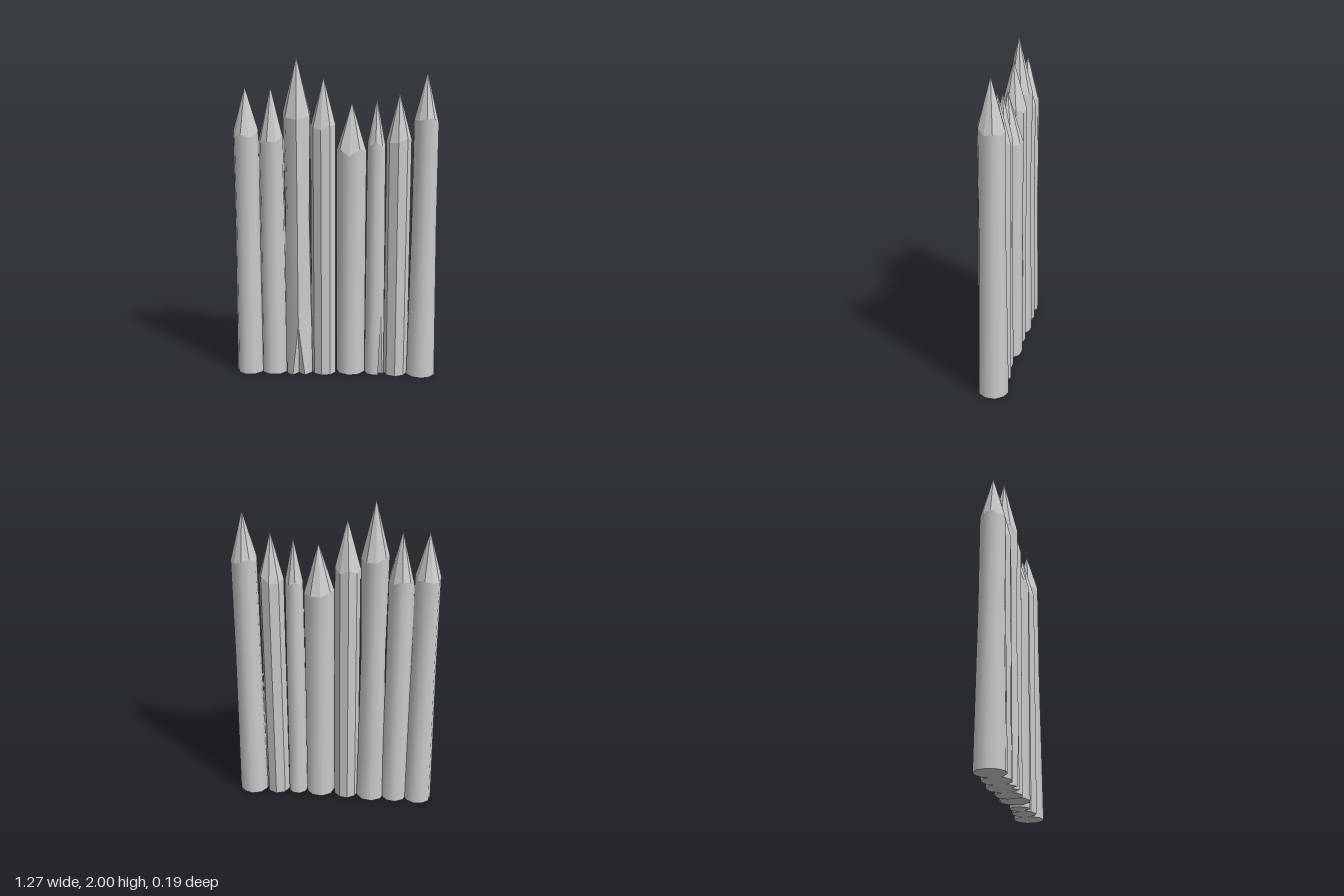
import * as THREE from 'three';
import { toCreasedNormals } from 'three/addons/utils/BufferGeometryUtils.js';

const material = new THREE.MeshStandardMaterial({ color: 0xcccccc });
const flatMaterial = new THREE.MeshStandardMaterial({ color: 0xcccccc, flatShading: true });

// Small seeded generator for the hand-cut irregularity, from -1 to 1
function makeRandom(seed) {
  let s = seed * 7919 + 17;
  return () => {
    s = (s * 16807) % 2147483647;
    return (s / 2147483647) * 2 - 1;
  };
}

// x, tip height, shoulder height, radius at base / middle / shoulder, sides
// facet: flat-sided log; crack: angle from the front, half width, height
const logs = [
  { x: -0.55, tip: 1.82, top: 1.54, r: [0.09, 0.078, 0.077], sides: 10 },
  { x: -0.395, tip: 1.82, top: 1.515, r: [0.086, 0.08, 0.078], sides: 9 },
  { x: -0.237, tip: 2.0, top: 1.65, r: [0.094, 0.078, 0.087], sides: 9, crack: [0.05, 0.42, 0.33] },
  { x: -0.075, tip: 1.88, top: 1.575, r: [0.079, 0.079, 0.078], sides: 9, facet: true },
  { x: 0.096, tip: 1.73, top: 1.435, r: [0.093, 0.093, 0.094], sides: 9, y0: 0.01 },
  { x: 0.246, tip: 1.76, top: 1.49, r: [0.063, 0.06, 0.056], sides: 9, crack: [0.7, 0.28, 0.4] },
  { x: 0.381, tip: 1.79, top: 1.505, r: [0.077, 0.077, 0.077], sides: 8, facet: true },
  { x: 0.543, tip: 1.91, top: 1.62, r: [0.093, 0.079, 0.077], sides: 10 },
];

function geometryFrom(points, index) {
  const g = new THREE.BufferGeometry();
  g.setAttribute('position', new THREE.Float32BufferAttribute(points.flat(), 3));
  g.setIndex(index);
  return g;
}

function makeLog(log, number) {
  const { tip, top, r, sides, crack, y0 = 0 } = log;
  const random = makeRandom(number + 1);
  const phase = random() * 0.3;

  // Directions around the log; a crack adds two lips and a sunken middle
  let spokes = [];
  for (let i = 0; i < sides; i++) {
    const a = phase + (i / sides) * Math.PI * 2;
    spokes.push({ a: Math.atan2(Math.sin(a), Math.cos(a)), wobble: 1 + random() * 0.025, dy: random() * 0.022 });
  }
  if (crack) {
    const [angle, half] = crack;
    spokes = spokes.filter((s) => Math.abs(s.a - angle) > half + 0.1);
    for (const side of [-1, 0, 1]) {
      spokes.push({ a: angle + side * half, closed: angle, wobble: 1, dy: -0.02, sunk: side === 0 });
    }
  }
  spokes.sort((p, q) => p.a - q.a);
  const n = spokes.length;

  // Cross-sections from the ground to the shoulder
  const middle = top * 0.62;
  const levels = [[y0, r[0]], [middle, r[1]], [top, r[2]]];
  if (crack) levels.splice(1, 0, [crack[2], THREE.MathUtils.lerp(r[0], r[1], crack[2] / middle)]);
  const points = [];
  levels.forEach(([y, radius], k) => {
    const last = k === levels.length - 1;
    for (const s of spokes) {
      const a = k > 0 && s.closed !== undefined ? s.closed : s.a;
      const d = radius * s.wobble * (k === 0 && s.sunk ? 0.5 : 1);
      points.push([Math.sin(a) * d, y + (last ? s.dy : 0), Math.cos(a) * d]);
    }
  });
  const shoulder = points.slice(-n);

  // Trunk walls and bottom, leaving out triangles where the crack has closed
  const index = [];
  const add = (a, b, c) => {
    const [p, q, s] = [a, b, c].map((i) => new THREE.Vector3(...points[i]));
    if (new THREE.Triangle(p, q, s).getArea() > 1e-8) index.push(a, b, c);
  };
  const centre = points.push([0, y0, 0]) - 1;
  for (let i = 0; i < n; i++) {
    const j = (i + 1) % n;
    for (let k = 0; k < levels.length - 1; k++) {
      const b = k * n, t = b + n;
      add(b + i, b + j, t + j);
      add(b + i, t + j, t + i);
    }
    add(centre, j, i);
  }
  const trunkGeometry = toCreasedNormals(geometryFrom(points, index), log.facet ? 0.3 : 0.85);
  const trunk = new THREE.Mesh(trunkGeometry, material);
  trunk.name = 'trunk';

  // Sharpened point
  const coneIndex = [];
  for (let i = 0; i < n; i++) {
    const j = (i + 1) % n;
    if (Math.hypot(...shoulder[i].map((v, c) => v - shoulder[j][c])) > 1e-5) coneIndex.push(i, j, n);
  }
  const pointGeometry = geometryFrom([...shoulder, [0, tip, 0]], coneIndex).toNonIndexed();
  pointGeometry.computeVertexNormals();
  const point = new THREE.Mesh(pointGeometry, flatMaterial);
  point.name = 'sharpenedPoint';

  const group = new THREE.Group();
  group.name = `log${number + 1}`;
  group.position.x = log.x;
  group.add(trunk, point);
  return group;
}

export function createModel() {
  const wall = new THREE.Group();
  wall.name = 'palisadeWall';
  logs.forEach((log, i) => wall.add(makeLog(log, i)));
  return wall;
}
